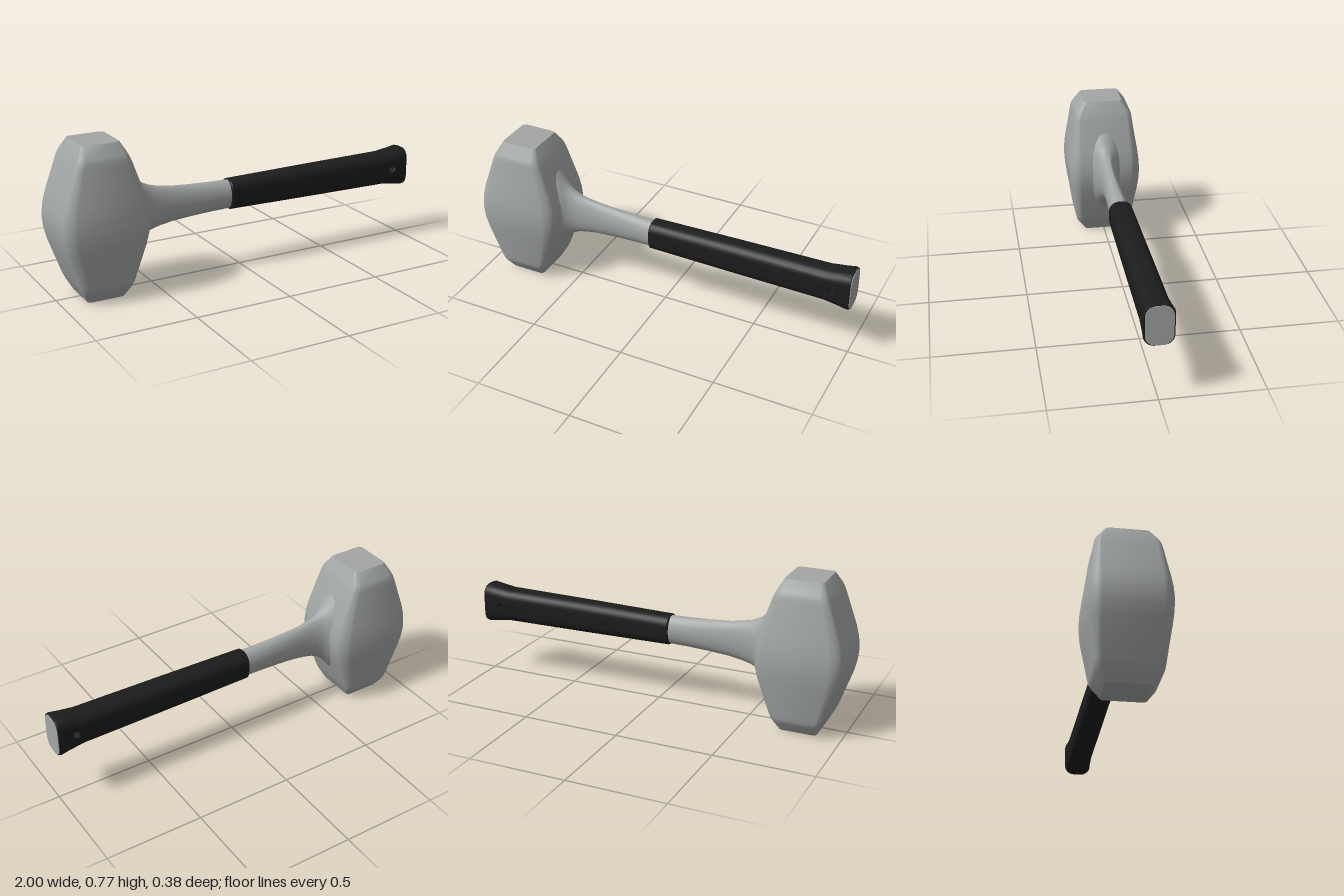
import * as THREE from 'three';
import { toCreasedNormals } from 'three/addons/utils/BufferGeometryUtils.js';

const HANDLE_Y = 0.387;
const HEAD_X = -0.78;
const HEAD_Y = 0.385;

// Closed skin over rings that run counter-clockwise about the loft direction.
function loft(rings, crease, skip = () => false) {
  const n = rings[0].length;
  const index = [];
  const points = rings.flat();
  for (let i = 0; i < rings.length - 1; i++) {
    for (let j = 0; j < n; j++) {
      if (skip(i, j)) continue;
      const a = i * n + j, b = i * n + (j + 1) % n;
      index.push(a, b, b + n, a, b + n, a + n);
    }
  }
  // end caps as fans
  const last = (rings.length - 1) * n;
  for (let j = 1; j < n - 1; j++) {
    index.push(0, j + 1, j, last, last + j, last + j + 1);
  }
  const geometry = new THREE.BufferGeometry().setFromPoints(points);
  geometry.setIndex(index);
  return toCreasedNormals(geometry, crease);
}

// Rounded rectangle across the handle at x
const CORNER = 8;
function roundedRing(x, hy, hz, r) {
  const ring = [];
  for (let k = 0; k < 4; k++) {
    const cy = (k === 0 || k === 3 ? 1 : -1) * (hy - r);
    const cz = (k < 2 ? 1 : -1) * (hz - r);
    for (let s = 0; s <= CORNER; s++) {
      const a = (k + s / CORNER) * Math.PI / 2;
      ring.push(new THREE.Vector3(x, HANDLE_Y + cy + r * Math.cos(a), cz + r * Math.sin(a)));
    }
  }
  return ring;
}

function ellipseRing(x, hy, hz) {
  return Array.from({ length: 40 }, (_, j) => {
    const a = j / 40 * Math.PI * 2;
    return new THREE.Vector3(x, HANDLE_Y + hy * Math.cos(a), hz * Math.sin(a));
  });
}

// Head section: four flats joined by softly bowed chamfers
function headRing(y, hx, hz, fx, fz) {
  const side = new THREE.Vector2(hx, fz);
  const face = new THREE.Vector2(fx, hz);
  const bow = new THREE.Vector2(hx - 0.08 * (hx - fx), hz - 0.35 * (hz - fz));
  const arc = new THREE.QuadraticBezierCurve(side, bow, face).getPoints(6);
  const back = arc.slice().reverse();
  const place = (list, sx, sz) => list.map((p) => new THREE.Vector3(HEAD_X + sx * p.x, y, sz * p.y));
  return [...place(arc, 1, -1), ...place(back, -1, -1), ...place(arc, -1, 1), ...place(back, 1, 1)];
}

export function createModel() {
  const steel = new THREE.MeshStandardMaterial({ color: 0xa2a6a5 });
  steel.name = 'steel grey';
  const rubber = new THREE.MeshStandardMaterial({ color: 0x1c1c1c, side: THREE.DoubleSide });
  rubber.name = 'grip black';

  const model = new THREE.Group();
  model.name = 'sledgeHammer';
  const add = (name, geometry, material, parent = model) => {
    const mesh = new THREE.Mesh(geometry, material);
    mesh.name = name;
    parent.add(mesh);
    return mesh;
  };

  // Head: [distance from mid height, half x, half z, flat half x, flat half z]
  const half = [
    [0, 0.22, 0.191, 0.165, 0.135],
    [0.06, 0.214, 0.188, 0.161, 0.135],
    [0.12, 0.199, 0.181, 0.15, 0.134],
    [0.2, 0.171, 0.169, 0.13, 0.132],
    [0.29, 0.14, 0.157, 0.107, 0.128],
    [0.315, 0.13, 0.153, 0.098, 0.125],
    [0.333, 0.122, 0.144, 0.092, 0.118],
    [0.385, 0.095, 0.105, 0.08, 0.088],
  ];
  const lower = half.slice(1).reverse().map(([t, ...s]) => headRing(HEAD_Y - t, ...s));
  const upper = half.map(([t, ...s]) => headRing(HEAD_Y + t, ...s));
  add('head', loft([...lower, ...upper], 0.5), steel);

  // Neck: flares out of the head and runs into the grip
  const neck = [
    [-0.63, 0.24, 0.12], [-0.6, 0.2, 0.105], [-0.575, 0.167, 0.088], [-0.555, 0.146, 0.068],
    [-0.535, 0.132, 0.056], [-0.5, 0.115, 0.046], [-0.45, 0.102, 0.041], [-0.38, 0.091, 0.04],
    [-0.28, 0.083, 0.043], [-0.16, 0.077, 0.048], [-0.05, 0.074, 0.053],
  ];
  add('neck', loft(neck.map((s) => ellipseRing(...s)), 0.8), steel);

  // Grip: gently tapered sleeve with a flared butt and a hanging hole
  const grip = new THREE.Group();
  grip.name = 'grip';
  model.add(grip);
  const rows = [
    [-0.07, 0.075, 0.056], [-0.065, 0.077, 0.06], [0.4, 0.083, 0.063], [0.865, 0.087, 0.066],
    [0.945, 0.097, 0.069], [0.985, 0.103, 0.072], [0.997, 0.101, 0.07],
  ];
  const R = 0.05, HOLE_ROW = 3;
  const sideCells = [CORNER, 3 * (CORNER + 1) - 1];
  const isHoleCell = (i, j) => i === HOLE_ROW && sideCells.includes(j);
  add('gripSleeve', loft(rows.map((s) => roundedRing(...s, R)), 0.6, isHoleCell), rubber, grip);

  // Pierced side panels and the tube between them
  const [x0, y0, z0] = rows[HOLE_ROW], [x1, y1, z1] = rows[HOLE_ROW + 1];
  const holeX = 0.905, holeR = 0.018;
  const panel = new THREE.Shape([
    new THREE.Vector2(x0, R - y0), new THREE.Vector2(x1, R - y1),
    new THREE.Vector2(x1, y1 - R), new THREE.Vector2(x0, y0 - R),
  ]);
  panel.holes.push(new THREE.Path().absarc(holeX, 0, holeR, 0, Math.PI * 2, true));
  for (const sign of [1, -1]) {
    const geometry = new THREE.ShapeGeometry(panel, 24);
    const p = geometry.attributes.position;
    for (let i = 0; i < p.count; i++) {
      p.setZ(i, sign * THREE.MathUtils.mapLinear(p.getX(i), x0, x1, z0, z1));
    }
    geometry.translate(0, HANDLE_Y, 0);
    geometry.computeVertexNormals();
    add(sign > 0 ? 'holePanelFront' : 'holePanelBack', geometry, rubber, grip);
  }
  const tube = new THREE.CylinderGeometry(holeR, holeR, 0.134, 24, 1, true);
  tube.rotateX(Math.PI / 2).translate(holeX, HANDLE_Y, 0);
  add('hangingHole', tube, rubber, grip);

  // Steel butt plate at the end of the handle
  add('buttPlate', loft([0.993, 1].map((x) => roundedRing(x, 0.099, 0.065, R)), 0.6), steel);

  return model;
}
